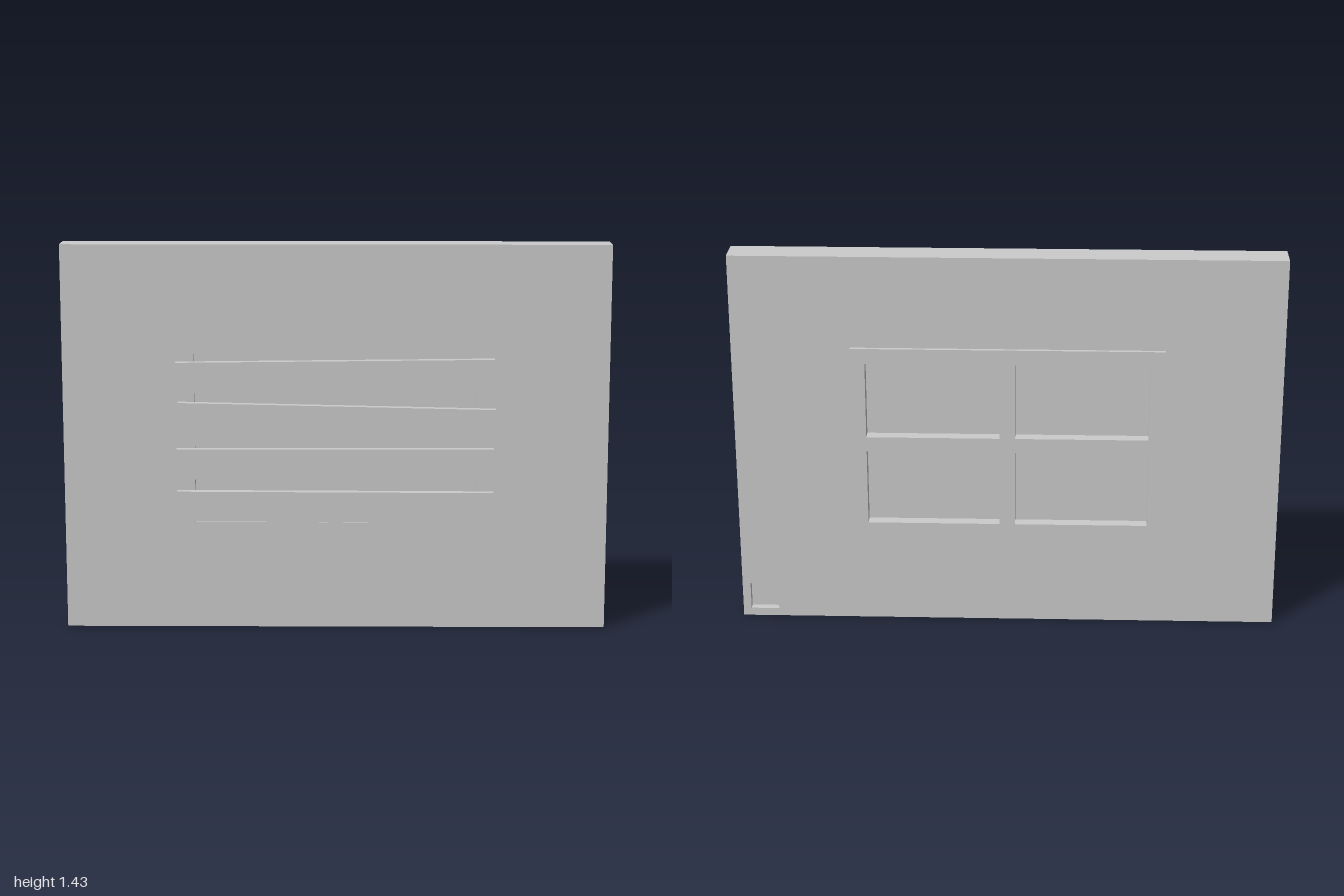
import * as THREE from 'three';

const material = new THREE.MeshStandardMaterial({ color: 0xcccccc });

// Rectangles are [x0, y0, x1, y1]
const corners = ([x0, y0, x1, y1]) => [[x0, y0], [x1, y0], [x1, y1], [x0, y1]].map(p => new THREE.Vector2(...p));

// Flat slab between two depths, with rectangular openings
function slab(name, rect, z0, z1, holes = []) {
  const shape = new THREE.Shape(corners(rect));
  for (const hole of holes) shape.holes.push(new THREE.Path(corners(hole).reverse()));
  const geometry = new THREE.ExtrudeGeometry(shape, { depth: z1 - z0, bevelEnabled: false });
  geometry.translate(0, 0, z0);
  const mesh = new THREE.Mesh(geometry, material);
  mesh.name = name;
  return mesh;
}

export function createModel() {
  const model = new THREE.Group();
  model.name = 'boardedWindowWall';

  const back = -0.065, front = 0.05;
  const opening = [-0.518, 0.4, 0.515, 1.03];
  const outlet = [0.865, 0.03, 0.97, 0.135];

  // Wall with the window opening and a small square recess low on the back
  model.add(slab('wall', [-1, 0, 1, 1.43], back, front, [opening, outlet]));
  model.add(slab('recessFloor', outlet, back + 0.027, front));

  // Panes set inside the wall
  const panes = [];
  for (const [x0, x1] of [[-0.518, -0.03], [0.027, 0.515]])
    for (const [y0, y1] of [[0.4, 0.687], [0.743, 1.03]]) panes.push([x0, y0, x1, y1]);
  for (const pane of panes) model.add(slab('pane', pane, -0.035, 0.023));

  // Cross bars through the opening, and the trim standing proud of the back
  model.add(slab('verticalBar', [-0.03, 0.4, 0.027, 1.03], back, front));
  for (const [x0, x1] of [[-0.518, -0.03], [0.027, 0.515]])
    model.add(slab('horizontalBar', [x0, 0.687, x1, 0.743], back, front));
  model.add(slab('windowFrame', [-0.572, 0.345, 0.568, 1.087], -0.079, back, panes));

  // Slightly crooked boards nailed across the front: centre x, centre y, rise
  const boards = [[-0.002, 0.952, 0.013], [0.003, 0.785, -0.024], [-0.002, 0.625, 0.002], [-0.002, 0.464, -0.003]];
  for (const [x, y, rise] of boards) {
    const board = new THREE.Mesh(new THREE.BoxGeometry(1.164, 0.112, 0.03), material);
    board.name = 'board';
    board.position.set(x, y, front + 0.015);
    board.rotation.z = Math.atan2(rise, 1.164);
    model.add(board);
  }
  return model;
}
